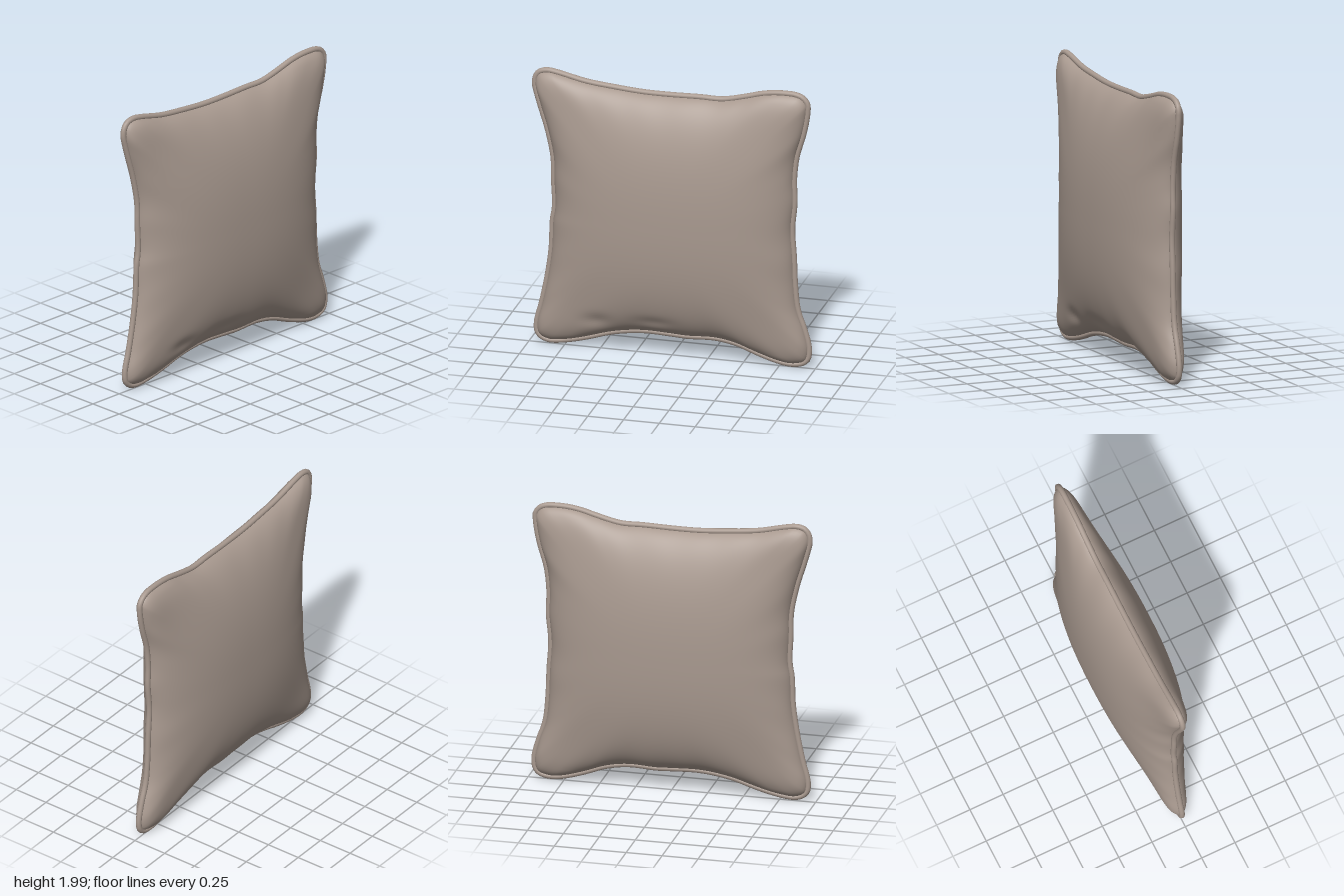
import * as THREE from 'three';

const PIPE = 0.02; // piping radius
const CY = 1.01;   // height of the cushion's middle

// Outer edge of the cushion, clockwise from the top left corner
const EDGE = [
  [-0.87, 1.998], [-0.78, 1.985], [-0.6, 1.945], [-0.4, 1.923], [-0.2, 1.908], [0, 1.907],
  [0.2, 1.912], [0.35, 1.912], [0.5, 1.945], [0.65, 1.985], [0.8, 1.998], [0.91, 1.982],
  [0.965, 1.92], [0.965, 1.84], [0.94, 1.7], [0.89, 1.52], [0.873, 1.35], [0.877, 1.2],
  [0.86, 1.0], [0.872, 0.8], [0.88, 0.6], [0.9, 0.42], [0.95, 0.27], [0.978, 0.13],
  [0.95, 0.04], [0.85, 0.006], [0.75, 0.016], [0.6, 0.06], [0.45, 0.115], [0.3, 0.14],
  [0.1, 0.133], [0, 0.138], [-0.2, 0.143], [-0.4, 0.115], [-0.6, 0.055], [-0.75, 0.02],
  [-0.87, 0.012], [-0.95, 0.055], [-0.967, 0.14], [-0.93, 0.3], [-0.89, 0.5], [-0.863, 0.7],
  [-0.855, 0.9], [-0.84, 1.0], [-0.847, 1.2], [-0.85, 1.35], [-0.89, 1.55], [-0.95, 1.75],
  [-0.98, 1.89], [-0.95, 1.97],
];

const bump = (x, y, cx, cy, rx, ry) => Math.exp(-(((x - cx) / rx) ** 2) - ((y - cy) / ry) ** 2);

// Edge curve moved inward by a distance
function insetEdge(distance, count) {
  const curve = new THREE.CatmullRomCurve3(EDGE.map(([x, y]) => new THREE.Vector3(x, y, 0)), true, 'centripetal');
  const points = [];
  for (let i = 0; i < count; i++) {
    const p = curve.getPointAt(i / count);
    const d = curve.getTangentAt(i / count);
    points.push(new THREE.Vector3(p.x + d.y * distance, p.y - d.x * distance, 0));
  }
  return points;
}

// Depth of the stuffing at a point; t runs from 0 in the middle to 1 at the seam
function puff(x, y, t) {
  const u = Math.min(1, Math.abs(x) / 0.88);
  const v = Math.min(1, Math.abs(y - CY) / 0.9);
  const pillow = (1 - u ** 2.3) * (1 - v ** 2.3);
  const rim = 1 - t ** 2.3;
  return 0.248 * Math.max(0, THREE.MathUtils.lerp(pillow, rim, t ** 4)) ** 0.6;
}

// One domed fabric panel built from rings around the middle; side is 1 or -1
function panel(side, material) {
  const n = 240, rings = 40;
  const edge = insetEdge(PIPE * 1.3, n);
  const pos = [0, CY, side * puff(0, CY, 0)];
  const index = [];
  const tri = (a, b, c) => (side > 0 ? index.push(a, b, c) : index.push(a, c, b));
  for (let k = 1; k <= rings; k++) {
    const t = 1 - (1 - k / rings) ** 1.5;
    edge.forEach((e, i) => {
      const x = e.x * t, y = CY + (e.y - CY) * t;
      let z = puff(x, y, t);
      // Soft puckers along the seam, and two folds low on the front
      z *= 1 + 0.04 * t ** 12 * Math.sin(i * Math.PI * 2 * 26 / n);
      if (side > 0) {
        z -= (1 - t ** 8) * (0.022 * bump(x, y, -0.5, 0.24, 0.09, 0.05) + 0.016 * bump(x, y, -0.1, 0.27, 0.12, 0.04));
      }
      pos.push(x, y, side * Math.max(0, z));
      const j = (i + 1) % n, outer = 1 + (k - 1) * n, inner = outer - n;
      if (k === 1) tri(0, outer + j, outer + i);
      else {
        tri(inner + i, outer + j, outer + i);
        tri(inner + i, inner + j, outer + j);
      }
    });
  }
  const geometry = new THREE.BufferGeometry();
  geometry.setAttribute('position', new THREE.Float32BufferAttribute(pos, 3));
  geometry.setIndex(index);
  geometry.computeVertexNormals();
  const mesh = new THREE.Mesh(geometry, material);
  mesh.name = side > 0 ? 'frontPanel' : 'backPanel';
  return mesh;
}

export function createModel() {
  const group = new THREE.Group();
  group.name = 'cushion';
  const fabric = new THREE.MeshStandardMaterial({ color: 0xa8998f });
  fabric.name = 'taupe fabric';

  group.add(panel(1, fabric), panel(-1, fabric));

  // Round piping along the seam
  const path = new THREE.CatmullRomCurve3(insetEdge(PIPE, 120), true, 'centripetal');
  const piping = new THREE.Mesh(new THREE.TubeGeometry(path, 300, PIPE, 12, true), fabric);
  piping.name = 'piping';
  group.add(piping);

  return group;
}
